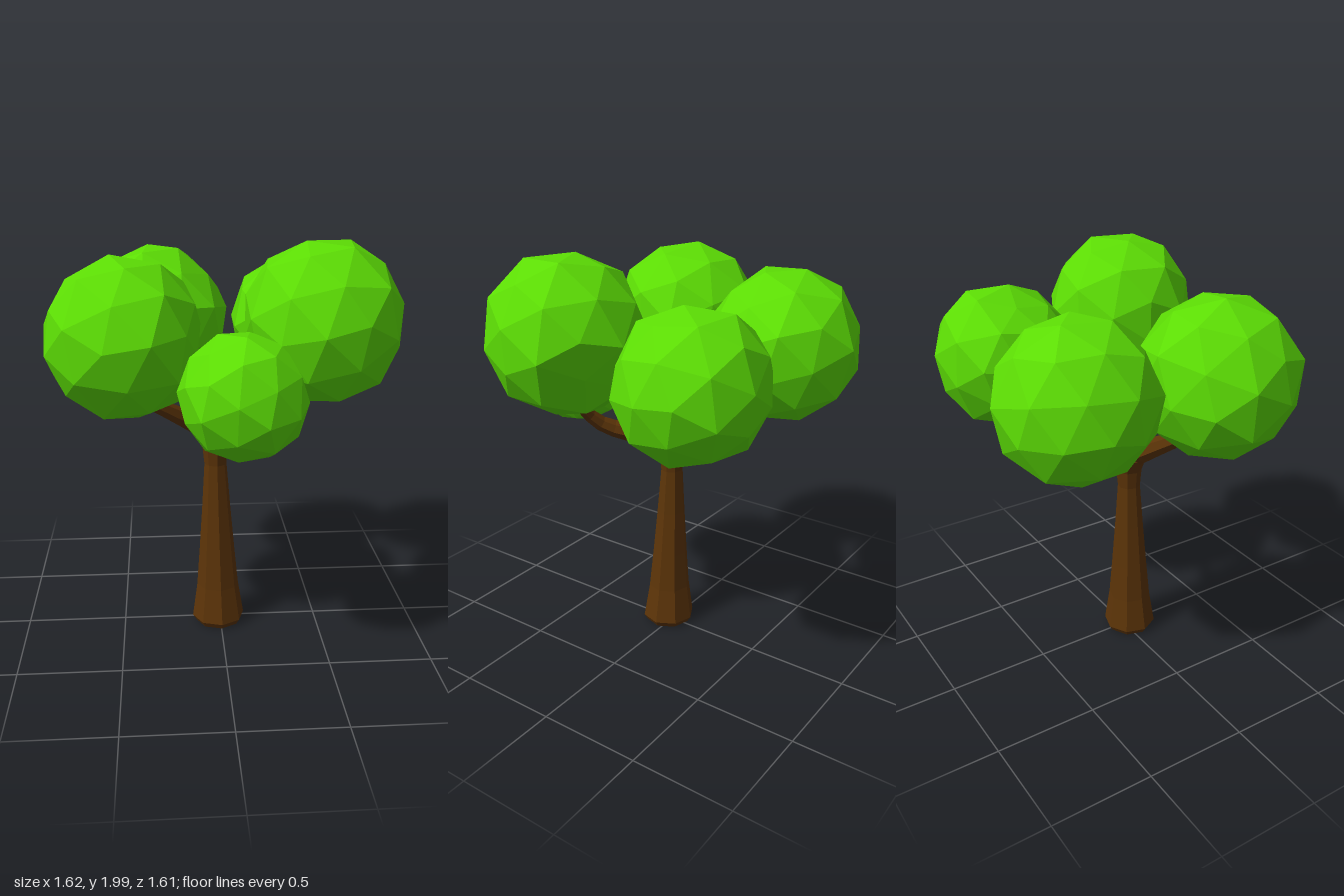
import * as THREE from 'three';

const leaf = new THREE.MeshStandardMaterial({ color: 0x5cdd04, flatShading: true });
const bark = new THREE.MeshStandardMaterial({ color: 0x5c3408, flatShading: true });

// Tube along a curve that narrows from r0 to r1, with a blunt closed end
function taperedBranch(points, r0, r1) {
  const curve = new THREE.CatmullRomCurve3(points.map(p => new THREE.Vector3(...p)));
  const rings = 10, sides = 7;
  const geo = new THREE.TubeGeometry(curve, rings, 1, sides, false);
  const pos = geo.attributes.position, v = new THREE.Vector3();
  for (let i = 0; i <= rings; i++) {
    const centre = curve.getPointAt(i / rings);
    const end = curve.getPointAt(Math.min(i, rings - 1) / rings);
    const r = i === rings ? 0.001 : r1 + (r0 - r1) * (1 - i / rings) ** 1.6;
    for (let j = 0; j <= sides; j++) {
      const k = i * (sides + 1) + j;
      v.fromBufferAttribute(pos, k).sub(centre).multiplyScalar(r).add(end);
      pos.setXYZ(k, v.x, v.y, v.z);
    }
  }
  return geo;
}

// Low-poly ball with wavy corners, pressed flat on the side facing `flat`
function leafClump(radius, turn, phase, flat) {
  const geo = new THREE.IcosahedronGeometry(1, 1);
  const pos = geo.attributes.position, v = new THREE.Vector3();
  const euler = new THREE.Euler(...turn), normal = new THREE.Vector3(...flat).normalize();
  for (let i = 0; i < pos.count; i++) {
    v.fromBufferAttribute(pos, i);
    v.multiplyScalar(radius * (1 + 0.025 * Math.sin(9 * v.x + 13 * v.y + 7 * v.z + phase)));
    v.applyEuler(euler);
    v.addScaledVector(normal, -Math.max(0, v.dot(normal) - 0.88 * radius));
    pos.setXYZ(i, v.x, v.y, v.z);
  }
  return geo;
}

export function createModel() {
  const tree = new THREE.Group();
  tree.name = 'tree';
  const add = (name, geo, mat) => {
    const mesh = new THREE.Mesh(geo, mat);
    mesh.name = name;
    tree.add(mesh);
    return mesh;
  };

  // Flared eight-sided trunk, leaning slightly, with a swollen fork at the top
  const profile = [[0, 0.01], [0.115, 0.01], [0.134, 0.04], [0.125, 0.1], [0.107, 0.22], [0.09, 0.42],
    [0.072, 0.65], [0.056, 0.88], [0.064, 0.97], [0.088, 1.04], [0.07, 1.08], [0, 1.1]];
  const trunk = new THREE.LatheGeometry(profile.map(p => new THREE.Vector2(...p)), 8, 0.1);
  const pos = trunk.attributes.position;
  for (let i = 0; i < pos.count; i++) {
    const y = pos.getY(i);
    pos.setX(i, pos.getX(i) - 0.01 - 0.015 * y);
    pos.setZ(i, pos.getZ(i) + 0.032 - 0.017 * y);
  }
  add('trunk', trunk, bark);

  // Three main branches and their short side twigs
  const fork = [-0.02, 1.04, 0.02];
  const branches = [
    ['rightBranch', [fork, [-0.1, 1.09, 0.05], [-0.22, 1.17, 0.12], [-0.37, 1.27, 0.2]], 0.07, 0.034],
    ['leftBranch', [fork, [0.07, 1.075, 0.11], [0.2, 1.13, 0.26], [0.29, 1.22, 0.31], [0.38, 1.34, 0.31], [0.42, 1.44, 0.3]], 0.07, 0.022],
    ['backBranch', [fork, [-0.01, 1.075, -0.12], [0, 1.1, -0.23], [0.03, 1.17, -0.32], [0.1, 1.29, -0.37], [0.19, 1.38, -0.4]], 0.07, 0.024],
    ['leftTwig', [[0.2, 1.13, 0.26], [0.215, 1.165, 0.31], [0.22, 1.2, 0.36]], 0.025, 0.016],
    ['backTwig', [[0.01, 1.13, -0.28], [-0.01, 1.18, -0.34], [-0.04, 1.23, -0.4]], 0.03, 0.022],
  ];
  for (const [name, points, r0, r1] of branches) add(name, taperedBranch(points, r0, r1), bark);

  // Faceted leaf clumps: centre, radius, turn and flattened side
  const clumps = [
    ['backRightLeaves', [-0.3, 1.54, -0.435], 0.376, [0.3, 0.5, 0.2], [0.65, 0.65, 0.4]],
    ['backLeftLeaves', [0.43, 1.52, -0.41], 0.352, [1.1, 0.2, 0.7], [-0.4, 0.8, 0.2]],
    ['frontRightLeaves', [-0.45, 1.56, 0.215], 0.378, [0.6, 1.3, 0.4], [0.95, 0, 0.3]],
    ['frontLeftLeaves', [0.45, 1.645, 0.27], 0.374, [0.2, 0.9, 1.0], [0.6, -0.45, -0.65]],
    ['frontLowLeaves', [0.07, 1.365, 0.52], 0.289, [0.8, 0.4, 0.1], [0.9, 0.4, -0.1]],
  ];
  clumps.forEach(([name, centre, r, turn, flat], i) => {
    add(name, leafClump(r, turn, i * 1.7, flat), leaf).position.set(...centre);
  });
  return tree;
}
